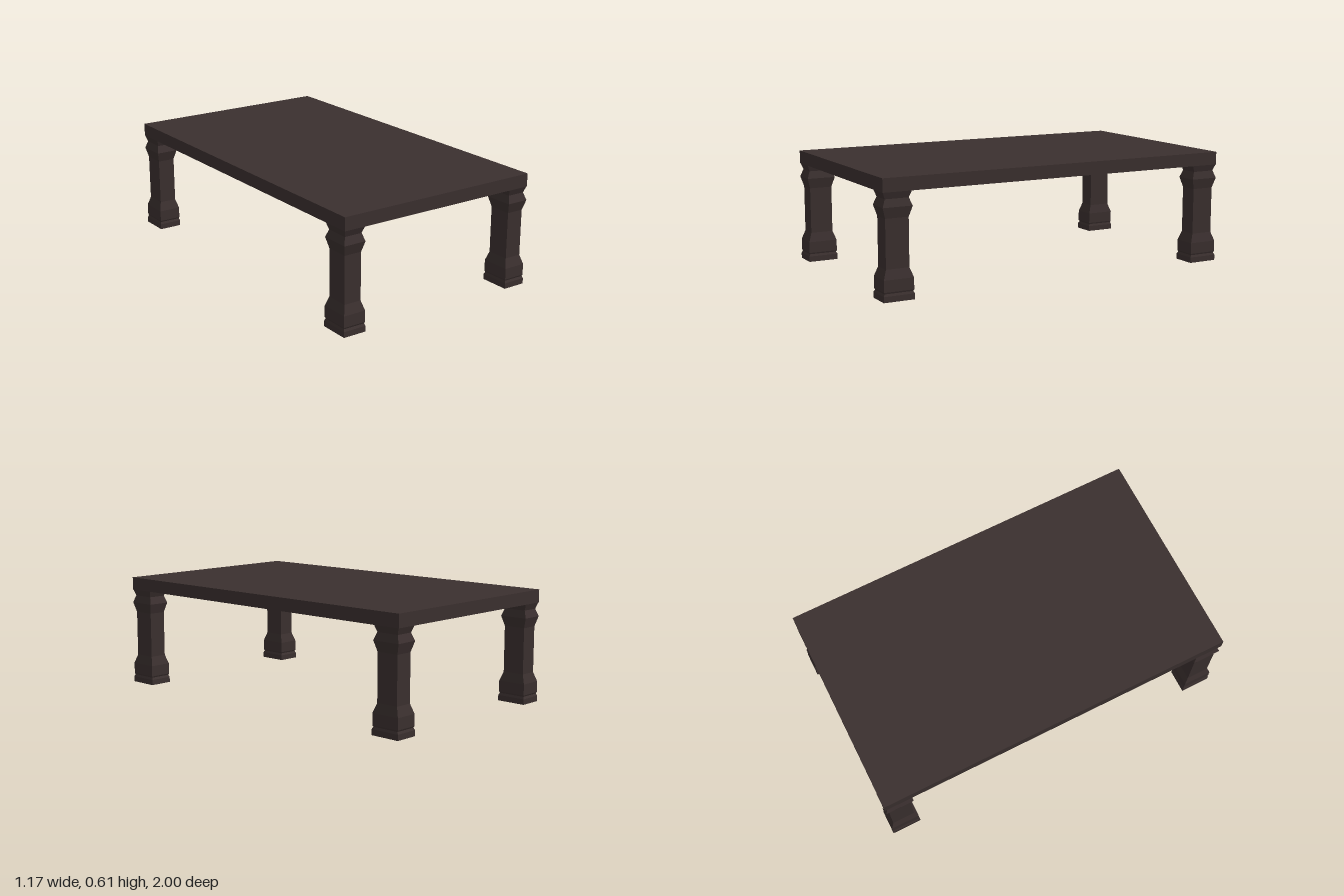
import * as THREE from 'three';

// Square leg outline: [half width, height] from floor to underside of the top
const LEG_PROFILE = [
  [0, 0], [0.064, 0], [0.064, 0.03], [0.059, 0.042], [0.062, 0.05], [0.062, 0.11],
  [0.048, 0.16], [0.048, 0.41], [0.061, 0.465], [0.049, 0.505],
  [0.059, 0.54], [0.06, 0.6], [0, 0.6],
];
const LEG_X = 0.52, LEG_Z = 0.918;
const LEG_DEPTH_RATIO = 1.29; // legs are deeper than they are wide

export function createModel() {
  const table = new THREE.Group();
  table.name = 'table';
  const wood = new THREE.MeshStandardMaterial({ color: 0x3b302f, flatShading: true });

  // Thick flat top
  const top = new THREE.Mesh(new THREE.BoxGeometry(1.16, 0.07, 1.992), wood);
  top.name = 'tableTop';
  top.position.y = 0.574;
  table.add(top);

  // Four-sided turned legs, one at each corner
  const points = LEG_PROFILE.map(([half, y]) => new THREE.Vector2(half * Math.SQRT2, y));
  const legGeometry = new THREE.LatheGeometry(points, 4, Math.PI / 4);
  legGeometry.scale(1, 1, LEG_DEPTH_RATIO);
  for (const [sz, end] of [[1, 'front'], [-1, 'back']]) {
    for (const [sx, side] of [[1, 'Left'], [-1, 'Right']]) {
      const leg = new THREE.Mesh(legGeometry, wood);
      leg.name = `${end}${side}Leg`;
      leg.position.set(sx * LEG_X, 0, sz * LEG_Z);
      table.add(leg);
    }
  }
  return table;
}
